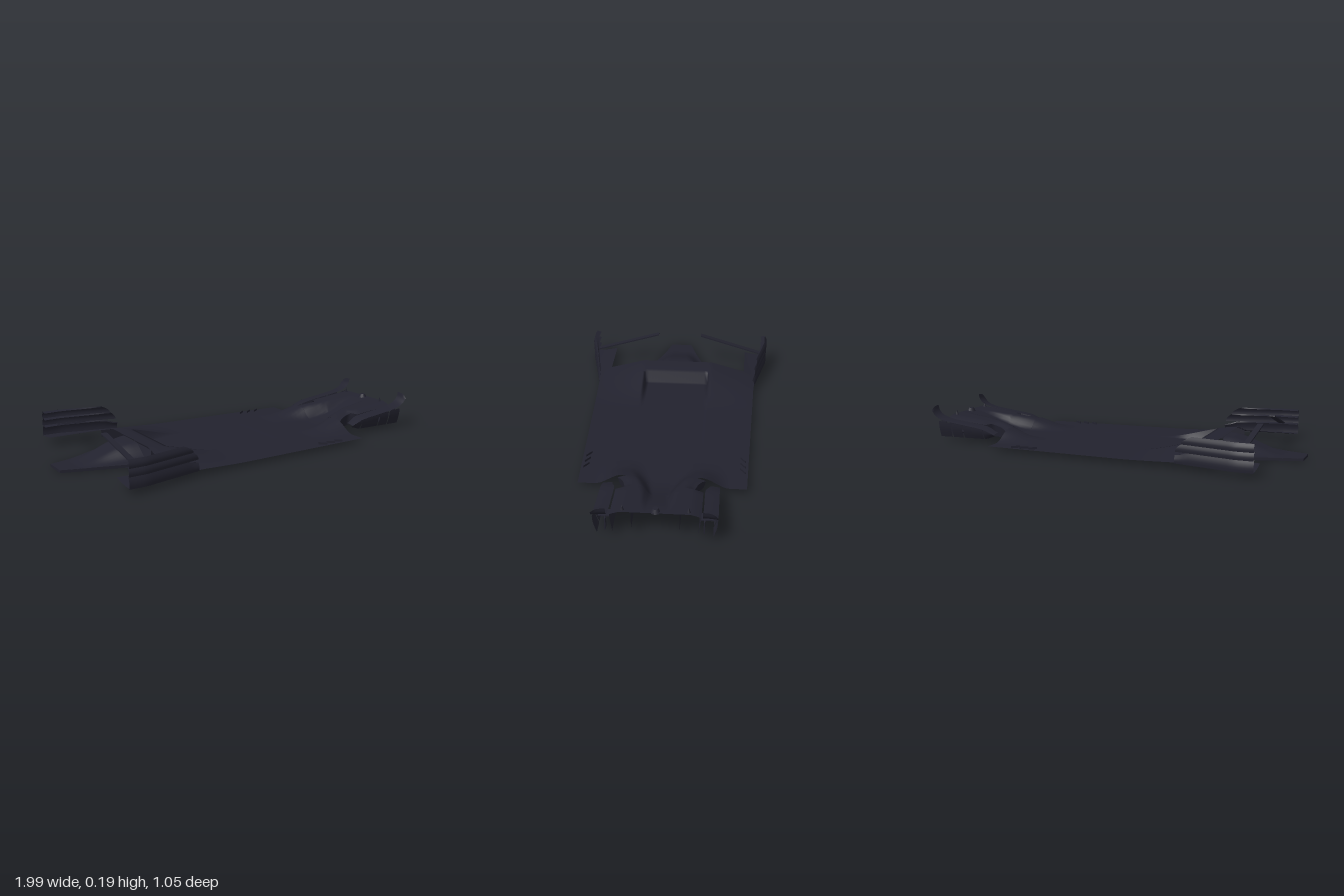
import * as THREE from 'three';

const { lerp, smoothstep, clamp } = THREE.MathUtils;
const steps = (a, b, n) => Array.from({ length: n + 1 }, (_, i) => lerp(a, b, i / n));

// Piecewise-linear lookup through [x, value] points
function along(points, x) {
  for (let i = 1; i < points.length; i++) {
    const [a, va] = points[i - 1], [b, vb] = points[i];
    if (x <= b) return lerp(va, vb, clamp((x - a) / (b - a), 0, 1));
  }
  return points[points.length - 1][1];
}

// Smooth open skin through fn(u, v) => [x, y, z]
function skin(us, vs, fn) {
  const pos = [], idx = [], n = vs.length;
  for (const u of us) for (const v of vs) pos.push(...fn(u, v));
  for (let i = 0; i < us.length - 1; i++) {
    for (let j = 0; j < n - 1; j++) {
      const a = i * n + j, b = a + n;
      idx.push(a, a + 1, b, b, a + 1, b + 1);
    }
  }
  const g = new THREE.BufferGeometry();
  g.setAttribute('position', new THREE.Float32BufferAttribute(pos, 3));
  g.setIndex(idx);
  g.computeVertexNormals();
  return g;
}

// Half-widths in plan
const floorWidth = [[-0.6, 0.485], [-0.45, 0.45], [0.57, 0.413]];
const tailWidth = [[0.57, 0.215], [0.63, 0.18], [0.69, 0.165], [0.705, 0.207], [0.935, 0.207]];
const noseWidth = [[-1, 0.06], [-0.6, 0.18]];
const fenceLine = [[-0.86, 0.525], [-0.77, 0.523], [-0.45, 0.45]];
const tunnelRise = [[0.36, 0], [0.45, 0.015], [0.52, 0.04], [0.6, 0.066], [0.7, 0.083], [0.935, 0.108]];

// Height of the upper skin
function floorHeight(x, z) {
  const d = Math.abs(z);
  if (x > -0.488 && x < 0.17 && d < 0.181) return 0.021;
  const arch = 0.08 * (1 - smoothstep(x, -0.62, -0.17)) * along([[0.2, 1], [0.28, 0.72], [0.45, 0.14], [0.49, 0.1]], d);
  const valleyEdge = along([[0.17, 0.18], [0.5, 0.13], [0.7, 0.06], [0.935, 0.03]], x);
  const valley = Math.max(smoothstep(d, valleyEdge - 0.06, valleyEdge + 0.03), smoothstep(x, 0.5, 0.93));
  const side = 1 - smoothstep(d, 0.19, 0.33);
  return 0.022 + arch + along(tunnelRise, x) * valley * side;
}

export function createModel() {
  const group = new THREE.Group();
  const carbon = new THREE.MeshStandardMaterial({ color: 0x22222e, side: THREE.DoubleSide });
  carbon.name = 'dark carbon';
  const add = (name, geometry) => {
    const m = new THREE.Mesh(geometry, carbon);
    m.name = name;
    group.add(m);
    return m;
  };

  // Main floor with front arches and recessed centre; v runs 0..1 inside, 1..2 outside
  const half = [...steps(0, 1, 10), ...steps(1.012, 2, 22)];
  const cols = [...half.slice(1).reverse().map(v => -v), ...half];
  const rows = [...steps(-0.6, -0.49, 5), ...steps(-0.486, 0.57, 50)];
  add('mainFloor', skin(rows, cols, (x, v) => {
    const d = Math.abs(v);
    const z = Math.sign(v) * (d <= 1 ? d * 0.18 : lerp(0.18, along(floorWidth, x), d - 1));
    return [x, floorHeight(x, z), z];
  }));

  // Diffuser roof
  const tailRows = [0.57, 0.6, 0.63, 0.66, 0.69, 0.705, ...steps(0.74, 0.935, 6)];
  add('diffuserRoof', skin(tailRows, steps(-1, 1, 32), (x, s) => {
    const z = s * along(tailWidth, x);
    return [x, floorHeight(x, z) - 0.012 * smoothstep(Math.abs(s), 0.75, 1), z];
  }));

  // Front splitter wedge
  add('noseWedge', skin(steps(-1, -0.6, 14), steps(-1, 1, 20), (x, s) => {
    const rise = 0.083 * smoothstep(x, -0.93, -0.6);
    const plateau = 1 - 0.75 * smoothstep(Math.abs(s), 0.35, 1);
    return [x, 0.012 + 0.006 * (x + 1) + rise * plateau, s * along(noseWidth, x)];
  }));

  // Flat keel under the centre
  const keelEdge = [[-1, 0.06], [-0.6, 0.175], [0.3, 0.175], [0.52, 0.12], [0.67, 0.04]];
  const outline = [...keelEdge, ...keelEdge.map(([x, z]) => [x, -z]).reverse()];
  const keel = new THREE.ExtrudeGeometry(new THREE.Shape(outline.map(p => new THREE.Vector2(...p))),
    { depth: 0.014, bevelEnabled: false });
  keel.rotateX(Math.PI / 2).translate(0, 0.014, 0);
  add('keel', keel);

  // Chamfered keel sides, front arch strakes and everything else that is mirrored
  for (const s of [1, -1]) {
    const side = s > 0 ? 'left' : 'right';

    add(side + 'KeelChamfer', skin([-0.6, 0.3, 0.52], [0, 1], (x, v) =>
      [x, 0.022 * v, s * (along(keelEdge, x) + 0.025 * v)]));

    // Diffuser walls and inner strakes
    add(side + 'DiffuserWall', skin(tailRows, steps(0, 1, 3), (x, v) => {
      const w = along(tailWidth, x);
      return [x, lerp(0.022, floorHeight(x, w) - 0.012, v), s * (w - 0.012 * (1 - v))];
    }));
    add(side + 'DiffuserStrake', skin(steps(0.68, 0.93, 5), [0, 1], (x, v) =>
      [x, lerp(0.035, floorHeight(x, 0.11), v), s * 0.11]));
    const tip = add(side + 'DiffuserTip', new THREE.ConeGeometry(0.012, 0.03, 4));
    tip.position.set(0.915, 0.138, s * 0.15);

    // Front foot plate outside the inlet
    add(side + 'FootPlate', skin(steps(-0.86, -0.6, 8), steps(0, 1, 8), (x, v) => {
      const z = lerp(0.395, along(fenceLine, x), v);
      const y = lerp(0.03 + 0.018 * (1 - v) ** 2, floorHeight(-0.6, z), smoothstep(x, -0.72, -0.6));
      return [x, y, s * z];
    }));

    // Inlet turning vanes
    for (const z of [0.23, 0.29, 0.35]) {
      add(side + 'InletVane', skin(steps(-0.6, -0.4, 5), [0, 1], (x, v) =>
        [x, lerp(0.024, floorHeight(x, z), v), s * z]));
    }

    // Stacked fence vanes, each shorter than the one below
    const vanes = [[0.026, 0.086, -0.46, -0.46], [0.083, 0.125, -0.465, -0.5], [0.122, 0.162, -0.495, -0.55]];
    vanes.forEach(([y0, y1, end0, end1], i) => {
      add(side + 'FenceVane', skin(steps(0, 1, 16), steps(0, 1, 5), (u, v) => {
        const x = lerp(-0.86, lerp(end0, end1, v * v), u);
        const drop = i === 0 ? 0.022 * smoothstep(x, -0.55, -0.46) * v : 0;
        const curl = 0.006 * Math.sin(v * Math.PI) - 0.01 * v;
        return [x, lerp(y0, y1, v) - drop, s * (along(fenceLine, x) + curl)];
      }));
      // Inward lip on top of each vane
      add(side + 'FenceLip', skin(steps(0, 1, 12), [0, 1], (u, v) => {
        const x = lerp(-0.86, end1, u);
        const drop = i === 0 ? 0.022 * smoothstep(x, -0.55, -0.46) : 0;
        return [x, y1 - drop - 0.006 * v, s * (along(fenceLine, x) - 0.01 - 0.025 * v * (1 - u))];
      }));
    });

    // Stay rod from the fence up to the centre
    const a = new THREE.Vector3(-0.797, 0.183, s * 0.128), b = new THREE.Vector3(-0.772, 0.085, s * 0.5);
    const rod = add(side + 'StayRod', new THREE.BoxGeometry(0.03, 0.007, a.distanceTo(b)));
    rod.position.copy(a).lerp(b, 0.5);
    rod.lookAt(b);

    // Rear winglet: rising strip that curls up at the back
    const curve = new THREE.CatmullRomCurve3([[0.61, 0.06], [0.68, 0.085], [0.8, 0.102], [0.92, 0.12],
      [0.965, 0.138], [0.985, 0.16], [0.993, 0.187]].map(([x, y]) => new THREE.Vector3(x, y, 0)));
    add(side + 'WingletBlade', skin(steps(0, 1, 28), steps(0, 1, 6), (u, v) => {
      const p = curve.getPoint(u);
      const inner = 0.215 + 0.02 * (1 - smoothstep(u, 0, 0.2));
      const round = 0.02 * smoothstep(u, 0.85, 1) * v ** 4;
      return [p.x, p.y - 0.006 * v * v - round, s * lerp(inner, 0.283, v)];
    }));

    // Slatted side panels under the winglet
    for (const [x0, x1] of [[0.615, 0.675], [0.682, 0.8], [0.807, 0.87], [0.877, 0.95]]) {
      add(side + 'WingletPanel', skin(steps(x0, x1, 3), steps(0, 1, 5), (x, v) => {
        const low = along([[0.61, 0.045], [0.67, 0.025], [0.95, 0.022]], x);
        const top = along([[0.61, 0.055], [0.68, 0.08], [0.95, 0.11]], x);
        return [x, lerp(low, top, v), s * (0.262 + 0.02 * Math.sin(v * Math.PI / 2))];
      }));
    }
    const hanger = add(side + 'WingletHanger', new THREE.BoxGeometry(0.03, 0.06, 0.006));
    hanger.position.set(0.955, 0.085, s * 0.222);
    const bridge = add(side + 'WingletBridge', new THREE.BoxGeometry(0.05, 0.006, 0.07));
    bridge.position.set(0.84, 0.05, s * 0.235);

    // Small fins on the floor edge
    for (const x of [0.32, 0.37, 0.42]) {
      const fin = add(side + 'EdgeFin', new THREE.BoxGeometry(0.045, 0.014, 0.004));
      fin.position.set(x, 0.026, s * 0.393);
      fin.rotation.y = -s * 0.6;
    }
  }

  // Central tail block
  const block = add('tailBlock', new THREE.CylinderGeometry(0.014, 0.024, 0.02, 8));
  block.position.set(0.915, 0.134, 0);
  return group;
}
